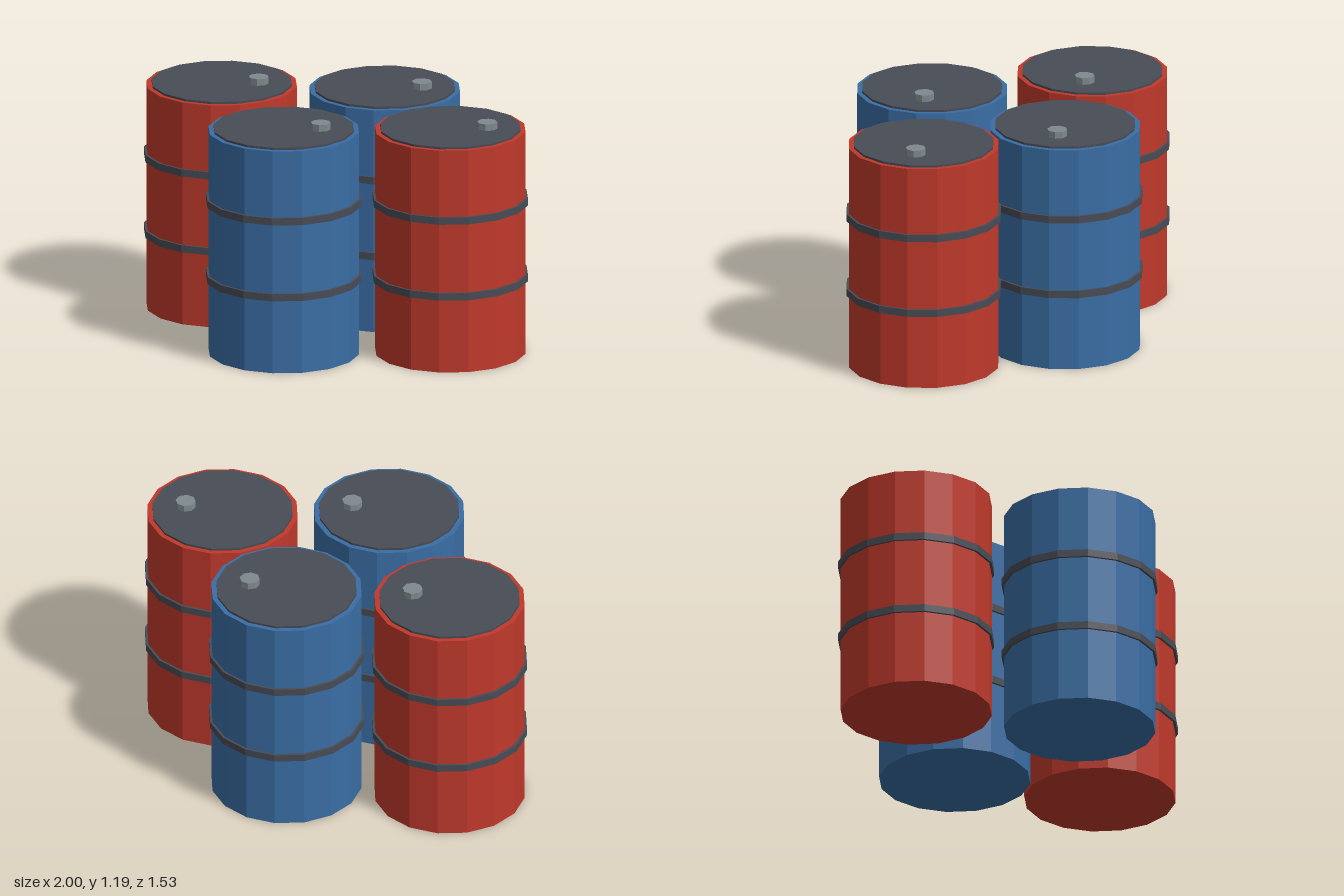
import * as THREE from 'three';

const material = (name, color) => {
  const m = new THREE.MeshStandardMaterial({ color, flatShading: true });
  m.name = name;
  return m;
};

export function createModel() {
  const red = material('red paint', 0xc0392b);
  const blue = material('blue paint', 0x3a6ea5);
  const dark = material('dark steel', 0x484c55);
  const grey = material('grey steel', 0x7f8a8e);

  // Upright cylinder resting on height y
  const disc = (name, mat, radius, height, sides, x, y) => {
    const geometry = new THREE.CylinderGeometry(radius, radius, height, sides);
    const mesh = new THREE.Mesh(geometry, mat);
    mesh.name = name;
    mesh.position.set(x, y + height / 2, 0);
    return mesh;
  };

  // One barrel: body, two hoops, lid and off-centre plug
  const barrel = (name, paint, x, z) => {
    const group = new THREE.Group();
    group.name = name;
    group.add(
      disc('body', paint, 0.375, 1.143, 16, 0, 0),
      disc('lowerHoop', dark, 0.387, 0.037, 16, 0, 0.374),
      disc('upperHoop', dark, 0.387, 0.037, 16, 0, 0.765),
      disc('lid', dark, 0.35, 0.02, 16, 0, 1.134),
      disc('plug', grey, 0.05, 0.038, 8, 0.184, 1.15)
    );
    group.position.set(x, 0, z);
    return group;
  };

  const model = new THREE.Group();
  model.name = 'barrelCluster';
  model.add(
    barrel('backRightBarrel', red, -0.613, -0.34),
    barrel('backLeftBarrel', blue, 0.194, -0.378),
    barrel('frontRightBarrel', blue, -0.197, 0.378),
    barrel('frontLeftBarrel', red, 0.613, 0.245)
  );
  return model;
}
